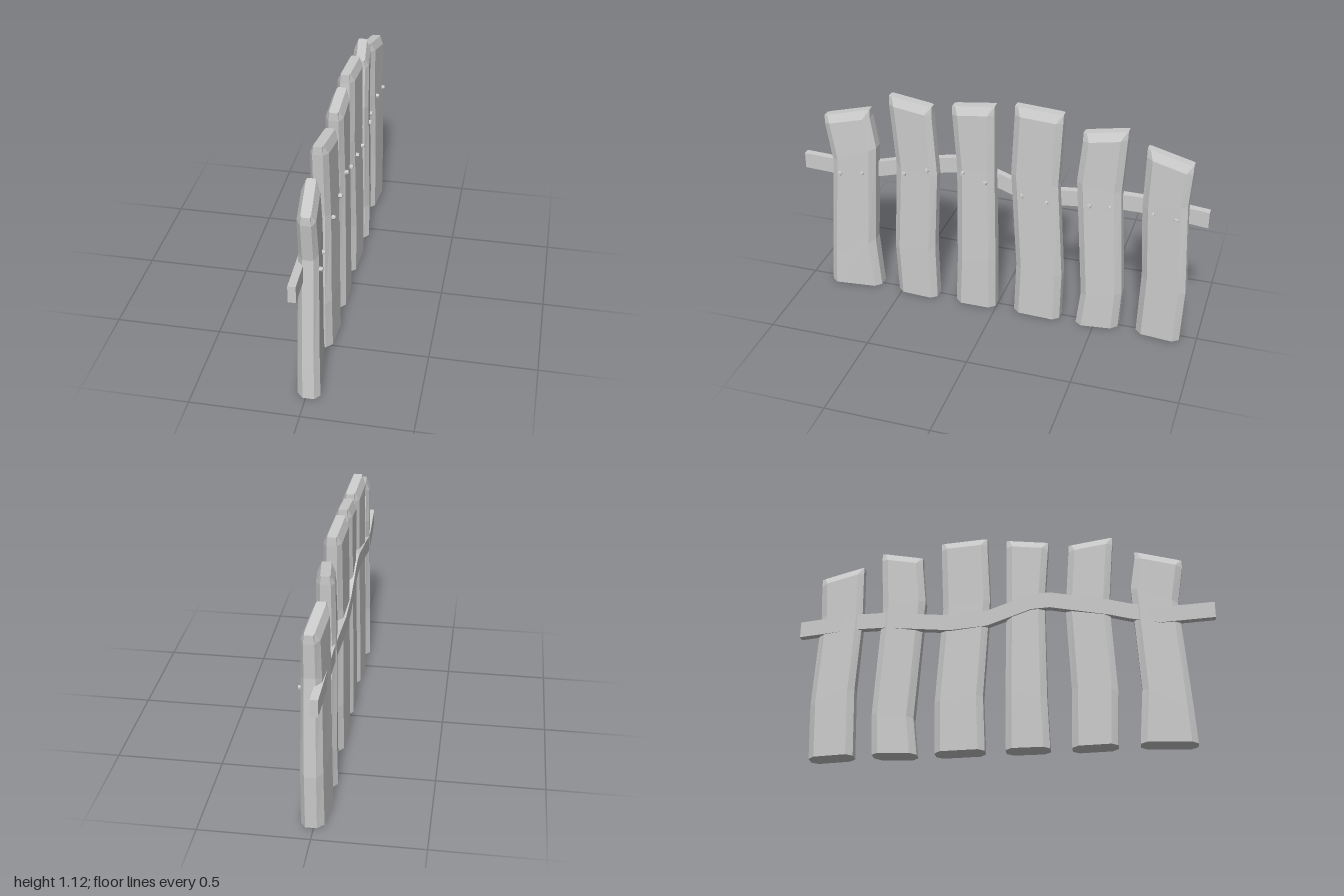
import * as THREE from 'three';

const material = new THREE.MeshStandardMaterial({ color: 0xcccccc, flatShading: true });

// Skin a list of equal-sized rings (each counter-clockwise about the loft direction) and cap both ends.
function loft(rings) {
  const pos = [];
  const tri = (...pts) => pts.forEach((p) => pos.push(...p));
  const n = rings[0].length;
  for (let j = 0; j < rings.length - 1; j++) {
    for (let i = 0; i < n; i++) {
      const k = (i + 1) % n;
      const a = rings[j][i], b = rings[j][k], c = rings[j + 1][k], d = rings[j + 1][i];
      tri(a, b, c);
      tri(a, c, d);
    }
  }
  const first = rings[0], last = rings[rings.length - 1];
  for (let i = 1; i < n - 1; i++) {
    tri(first[0], first[i + 1], first[i]);
    tri(last[0], last[i], last[i + 1]);
  }
  const geo = new THREE.BufferGeometry();
  geo.setAttribute('position', new THREE.Float32BufferAttribute(pos, 3));
  geo.computeVertexNormals();
  return geo;
}

// Eight-sided plank section between two edges [z, y]; skew turns the plank about its upright axis.
function plankRing([z1, y1, z2, y2], half, edge, skew, inset = 0.03) {
  const mid = (z1 + z2) / 2, t = inset / (z1 - z2);
  return [
    [0, edge], [t, half], [1 - t, half], [1, edge],
    [1, -edge], [1 - t, -half], [t, -half], [0, -edge],
  ].map(([u, x]) => {
    const z = z1 + (z2 - z1) * u;
    return [x + skew * (z - mid), y1 + (y2 - y1) * u, z];
  });
}

// Per plank: skew, then rows of [z, y] at the +z edge and the -z edge: foot, lower bend, upper bend, top.
const planks = [
  { skew: 0.1, rows: [[0.88, 0, 0.62, 0], [0.87, 0.16, 0.64, 0.27], [0.83, 0.71, 0.61, 0.79], [0.86, 0.94, 0.635, 0.99]] },
  { skew: -0.06, rows: [[0.52, 0, 0.31, 0], [0.53, 0.26, 0.315, 0.29], [0.505, 0.72, 0.295, 0.7], [0.53, 1.08, 0.315, 1.055]] },
  { skew: 0, rows: [[0.21, 0, 0.005, 0], [0.2, 0.25, 0.005, 0.27], [0.195, 0.76, 0.01, 0.77], [0.215, 1.075, 0.01, 1.1]] },
  { skew: -0.04, rows: [[-0.09, 0, -0.325, 0], [-0.1, 0.27, -0.33, 0.25], [-0.07, 0.77, -0.3, 0.74], [-0.085, 1.115, -0.315, 1.105]] },
  { skew: 0.12, rows: [[-0.41, 0, -0.615, 0], [-0.43, 0.18, -0.625, 0.2], [-0.39, 0.79, -0.595, 0.75], [-0.41, 1.035, -0.61, 1.06]] },
  { skew: -0.1, rows: [[-0.705, 0, -0.92, 0], [-0.715, 0.33, -0.93, 0.27], [-0.695, 0.69, -0.905, 0.74], [-0.7, 0.99, -0.915, 0.945]] },
];

// Rail centre line: [z, y, x]
const railPath = [
  [1, 0.655, -0.02], [0.74, 0.637, -0.03], [0.6, 0.663, -0.035], [0.5, 0.69, -0.035],
  [0.22, 0.745, -0.035], [0.13, 0.74, -0.035], [-0.08, 0.665, -0.035], [-0.26, 0.65, -0.035],
  [-0.58, 0.683, -0.032], [-0.72, 0.683, -0.03], [-1, 0.66, -0.022],
];

// Nail heads: [z, y], two for each plank
const nails = [
  [0.79, 0.645], [0.68, 0.655], [0.46, 0.69], [0.34, 0.73], [0.16, 0.745], [0.05, 0.71],
  [-0.13, 0.67], [-0.25, 0.655], [-0.455, 0.675], [-0.55, 0.675], [-0.75, 0.675], [-0.86, 0.67],
];

export function createModel() {
  const group = new THREE.Group();
  group.name = 'woodenFence';
  const add = (name, geo) => {
    const mesh = new THREE.Mesh(geo, material);
    mesh.name = name;
    group.add(mesh);
    return mesh;
  };

  // Bent planks, thinner toward a chamfered top
  planks.forEach(({ skew, rows }, i) => {
    const [foot, low, high, top] = rows;
    const brow = [top[0], top[1] - 0.04, top[2], top[3] - 0.04];
    add(`plank${i + 1}`, loft([
      plankRing(foot, 0.052, 0.026, skew),
      plankRing(low, 0.05, 0.026, skew),
      plankRing(high, 0.044, 0.024, skew),
      plankRing(brow, 0.041, 0.023, skew),
      plankRing(top, 0.022, 0.018, skew, 0.015),
    ]));
  });

  // Crooked rail behind the planks
  const w = 0.0175, h = 0.04;
  add('rail', loft(railPath.map(([z, y, x]) =>
    [[x + w, y + h, z], [x + w, y - h, z], [x - w, y - h, z], [x - w, y + h, z]])));

  // Faceted nail heads seated on the plank faces
  const nailGeo = new THREE.CylinderGeometry(0.009, 0.013, 0.026, 6).rotateZ(-Math.PI / 2);
  nails.forEach(([z, y], i) => {
    const { skew, rows } = planks[Math.floor(i / 2)];
    const mid = (rows[2][0] + rows[2][2]) / 2;
    const nail = add(`nail${i + 1}`, nailGeo);
    nail.position.set(0.047 + skew * (z - mid), y, z);
    nail.rotation.x = i * 0.7;
  });

  return group;
}
